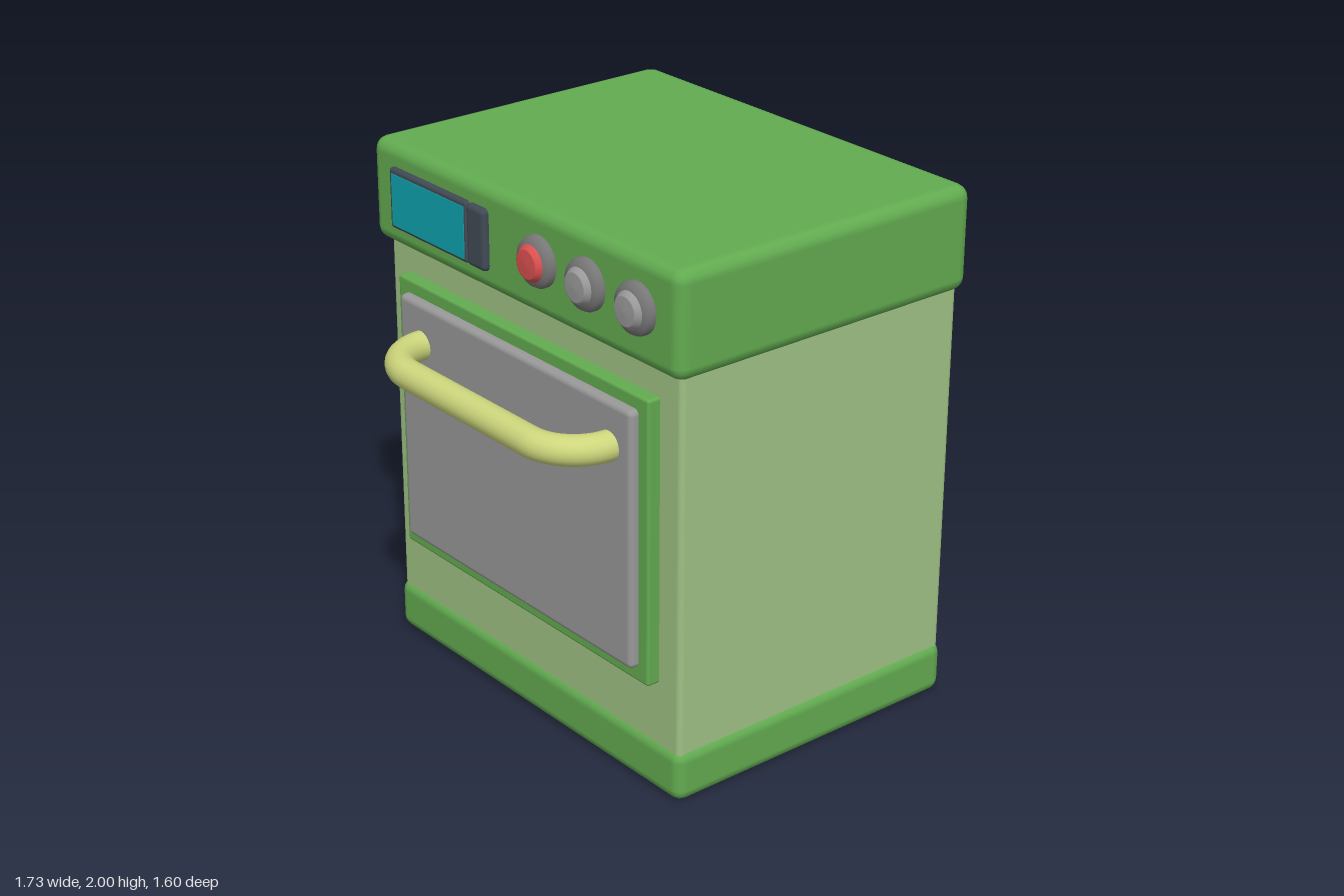
import * as THREE from 'three';
import { RoundedBoxGeometry } from 'three/addons/geometries/RoundedBoxGeometry.js';

const colour = (name, hex) => {
  const m = new THREE.MeshStandardMaterial({ color: hex });
  m.name = name;
  return m;
};

export function createModel() {
  const green = colour('green enamel', 0x62ab50);
  const paleGreen = colour('pale green enamel', 0x9fc284);
  const grey = colour('grey metal', 0x999999);
  const darkGrey = colour('dark grey metal', 0x777777);
  const yellow = colour('yellow handle', 0xcdd67c);
  const slate = colour('slate plastic', 0x414a55);
  const teal = colour('teal screen', 0x0fa3ae);
  const red = colour('red knob', 0xdb5050);

  const oven = new THREE.Group();
  oven.name = 'oven';
  const add = (name, geometry, material, parent = oven) => {
    const mesh = new THREE.Mesh(geometry, material);
    mesh.name = name;
    parent.add(mesh);
    return mesh;
  };
  // Rounded box given by its limits on each axis
  const block = (name, material, [x0, x1], [y0, y1], [z0, z1], radius) => {
    const g = new RoundedBoxGeometry(x1 - x0, y1 - y0, z1 - z0, 2, radius);
    g.translate((x0 + x1) / 2, (y0 + y1) / 2, (z0 + z1) / 2);
    return add(name, g, material);
  };

  // Cabinet
  block('base', green, [-0.84, 0.84], [0, 0.2], [-0.785, 0.49], 0.045);
  block('body', paleGreen, [-0.825, 0.825], [0.1, 1.68], [-0.775, 0.475], 0.022);
  block('topPanel', green, [-0.865, 0.865], [1.61, 2], [-0.79, 0.52], 0.05);

  // Door
  block('doorFrame', green, [-0.715, 0.715], [0.43, 1.51], [0.42, 0.525], 0.012);
  block('doorPanel', grey, [-0.665, 0.665], [0.485, 1.46], [0.48, 0.56], 0.022);

  // Handle: a bar with quarter-round ends running into the door
  const bend = 0.19, cx = 0.01, half = 0.54, zBar = 0.745;
  const v = (x, z) => new THREE.Vector3(cx + x, 1.3, z);
  const path = new THREE.CurvePath();
  const k = bend * 0.55;
  path.add(new THREE.LineCurve3(v(-half, 0.52), v(-half, zBar - bend)));
  path.add(new THREE.CubicBezierCurve3(v(-half, zBar - bend), v(-half, zBar - bend + k),
    v(-half + bend - k, zBar), v(-half + bend, zBar)));
  path.add(new THREE.LineCurve3(v(-half + bend, zBar), v(half - bend, zBar)));
  path.add(new THREE.CubicBezierCurve3(v(half - bend, zBar), v(half - bend + k, zBar),
    v(half, zBar - bend + k), v(half, zBar - bend)));
  path.add(new THREE.LineCurve3(v(half, zBar - bend), v(half, 0.52)));
  add('handle', new THREE.TubeGeometry(path, 90, 0.055, 20, false), yellow);

  // Display
  block('displayFrame', slate, [-0.73, -0.262], [1.69, 1.92], [0.49, 0.54], 0.014);
  block('displayButton', slate, [-0.262, -0.155], [1.69, 1.92], [0.49, 0.545], 0.02);
  const screen = add('screen', new THREE.BoxGeometry(0.435, 0.195, 0.006), teal);
  screen.position.set(-0.4925, 1.803, 0.54);

  // Knobs, turned about the z axis
  const turned = (points) => new THREE.LatheGeometry(
    points.map(([r, z]) => new THREE.Vector2(r, z)), 32).rotateX(Math.PI / 2);
  const collar = turned([[0.094, 0], [0.094, 0.02], [0.086, 0.036], [0.064, 0.044]]);
  const cap = turned([[0.068, 0.03], [0.067, 0.044], [0.054, 0.062], [0.05, 0.063], [0, 0.066]]);
  [[0.13, red], [0.393, grey], [0.655, grey]].forEach(([x, material], i) => {
    const knob = new THREE.Group();
    knob.name = `knob${i + 1}`;
    knob.position.set(x, 1.82, 0.515);
    add('knobCollar', collar, darkGrey, knob);
    add('knobCap', cap, material, knob);
    oven.add(knob);
  });

  // Rear plate: narrows upward, tucks into the base at its lower edge
  const plate = new THREE.BoxGeometry(2, 2, 1, 1, 2, 1);
  const p = plate.attributes.position;
  const rows = [[0.14, 0.765, -0.786], [0.22, 0.75, -0.8], [0.43, 0.695, -0.8]];
  for (let i = 0; i < p.count; i++) {
    const [y, w, z] = rows[Math.round(p.getY(i)) + 1];
    p.setXYZ(i, Math.sign(p.getX(i)) * w, y, p.getZ(i) < 0 ? z : -0.74);
  }
  plate.computeVertexNormals();
  add('rearPlate', plate, green);

  return oven;
}
